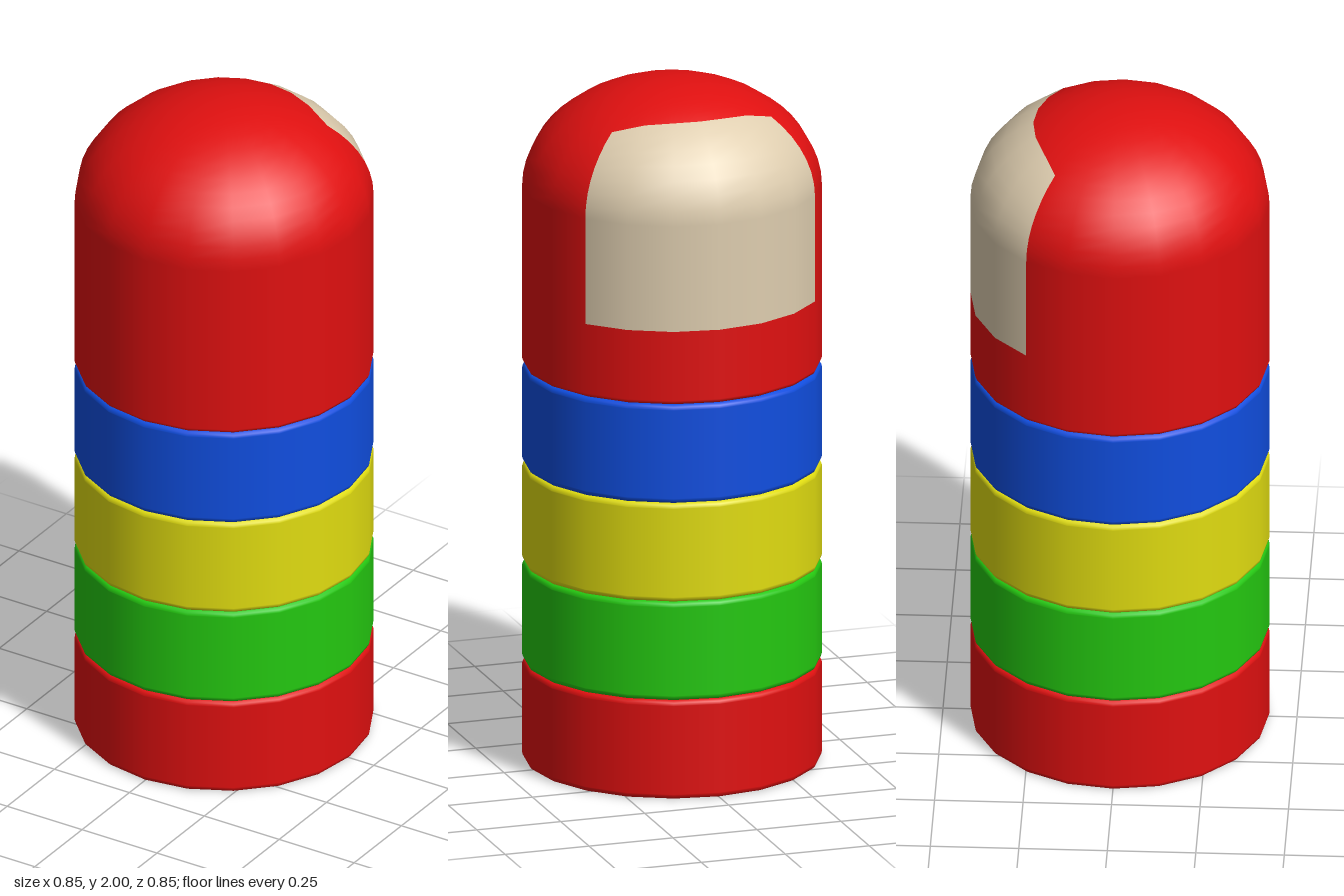
import * as THREE from 'three';

const R = 0.4228, SIDES = 20, BEVEL = 0.013;
const DOME_Y = 1.69, DOME_H = 0.31, HEAD_Y = 1.163;

function material(name, color) {
  const m = new THREE.MeshStandardMaterial({ color });
  m.name = name;
  return m;
}

// Drum with rounded rims; the doubled points keep wall and ends flat
function bandGeometry(y0, y1) {
  const arc = (cy, from) => [0, 1, 2, 3].map((k) => {
    const t = from + (k * Math.PI) / 6;
    return [R - BEVEL + BEVEL * Math.cos(t), cy + BEVEL * Math.sin(t)];
  });
  const pts = [
    [0, y0], [R - BEVEL - 0.002, y0], ...arc(y0 + BEVEL, -Math.PI / 2),
    [R, y0 + BEVEL + 0.002], [R, y1 - BEVEL - 0.002],
    ...arc(y1 - BEVEL, 0), [R - BEVEL - 0.002, y1], [0, y1],
  ];
  return new THREE.LatheGeometry(pts.map(([x, y]) => new THREE.Vector2(x, y)), SIDES);
}

// Head profile as [radius, y, outward normal, upward normal]; the dome has a row at radius cut
function headRows(cut) {
  const rows = [
    [0, HEAD_Y, 0, -1], [R - BEVEL, HEAD_Y, 0, -1],
    [R - BEVEL * 0.3, HEAD_Y + BEVEL * 0.3, 0.7, -0.7],
    [R, HEAD_Y + BEVEL, 1, 0], [R, 1.38, 1, 0],
  ];
  const tc = Math.acos(cut / R);
  const dome = (t) => {
    const n = new THREE.Vector2(Math.cos(t) / R, Math.sin(t) / DOME_H).normalize();
    rows.push([R * Math.cos(t), DOME_Y + DOME_H * Math.sin(t), n.x, n.y]);
  };
  for (let k = 0; k <= 7; k++) dome((tc * k) / 7);
  for (let k = 1; k <= 6; k++) dome(tc + ((Math.PI / 2 - tc) * k) / 6);
  return rows;
}

// Shell and back patch share one grid, so their border follows the grid lines
function headGeometries() {
  const cuts = [0.245, 0.247, 0.258, 0.293];
  const PATCH_FIRST = 4, PATCH_END = 12;
  const position = [], normal = [], shell = [], patch = [];
  let n = 0;
  for (let j = 0; j <= SIDES; j++) {
    const a = (j / SIDES) * Math.PI * 2, s = Math.sin(a), c = Math.cos(a);
    const rows = headRows(cuts[Math.min(3, Math.abs(j - SIDES / 2))]);
    n = rows.length;
    for (const [r, y, nr, ny] of rows) {
      position.push(r * s, y, r * c);
      normal.push(nr * s, ny, nr * c);
    }
  }
  for (let j = 0; j < SIDES; j++) {
    for (let i = 0; i < n - 1; i++) {
      const back = j >= 7 && j < 13 && i >= PATCH_FIRST && i < PATCH_END;
      const p = j * n + i, q = p + n;
      (back ? patch : shell).push(p, q, q + 1, p, q + 1, p + 1);
    }
  }
  return [shell, patch].map((index) => {
    const g = new THREE.BufferGeometry();
    g.setAttribute('position', new THREE.Float32BufferAttribute(position, 3));
    g.setAttribute('normal', new THREE.Float32BufferAttribute(normal, 3));
    g.setIndex(index);
    return g;
  });
}

export function createModel() {
  const model = new THREE.Group();
  model.name = 'stackedCapsule';
  const red = material('red', 0xe01010);
  const green = material('green', 0x24c810);
  const yellow = material('yellow', 0xe0dc10);
  const blue = material('blue', 0x104ee0);
  const beige = material('beige', 0xdecdaf);

  const add = (name, geometry, mat) => {
    const mesh = new THREE.Mesh(geometry, mat);
    mesh.name = name;
    model.add(mesh);
  };

  // Four stacked bands
  const bands = [['baseBand', red], ['greenBand', green], ['yellowBand', yellow], ['blueBand', blue]];
  const step = HEAD_Y / bands.length;
  bands.forEach(([name, mat], i) => add(name, bandGeometry(i * step, (i + 1) * step), mat));

  // Domed head with the pale patch on its back
  const [shell, patch] = headGeometries();
  add('domedHead', shell, red);
  add('backPatch', patch, beige);
  return model;
}
